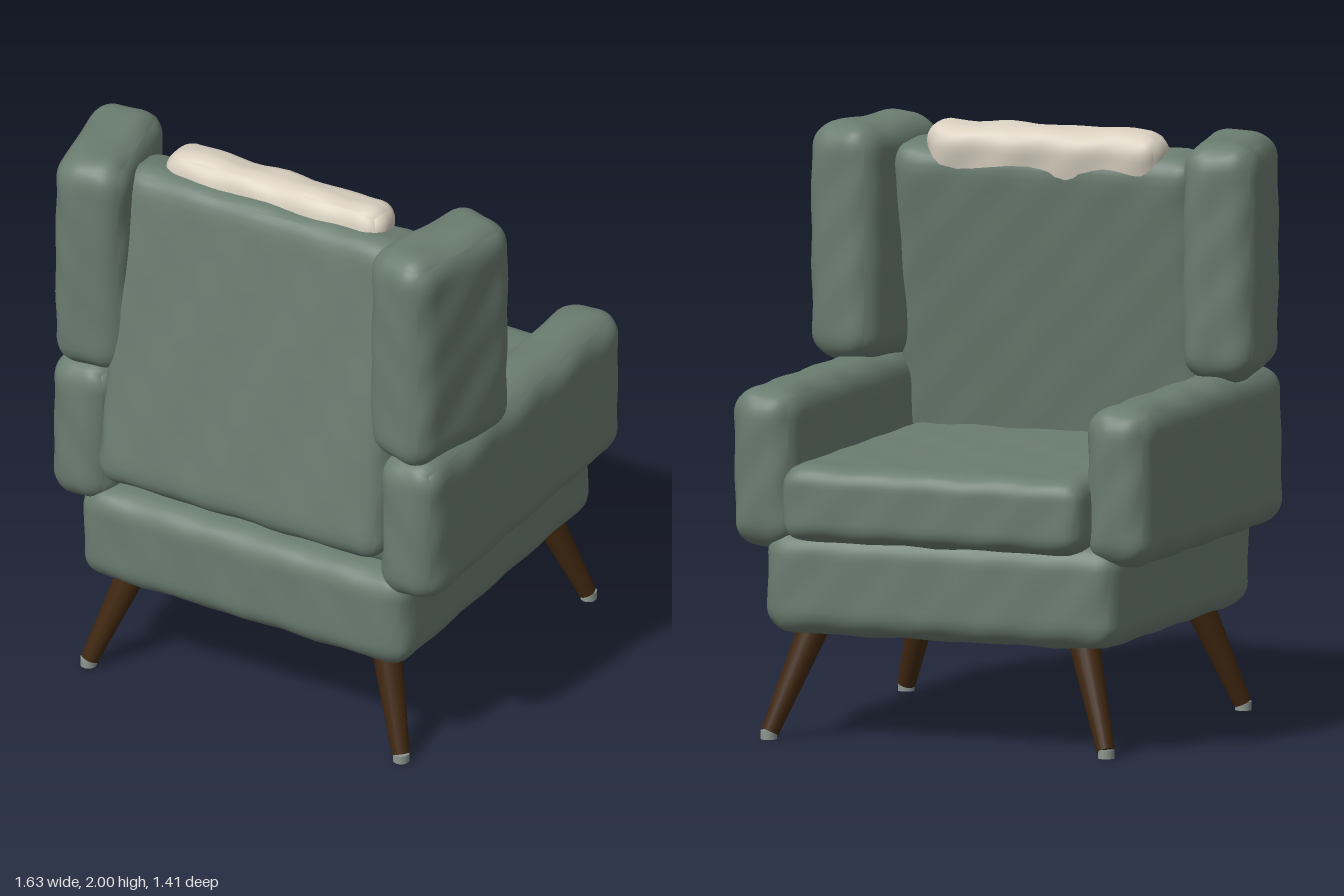
import * as THREE from 'three';
import { mergeVertices } from 'three/addons/utils/BufferGeometryUtils.js';

const mat = (name, color) => Object.assign(new THREE.MeshStandardMaterial({ color }), { name });

// Soft upholstered block: a rounded box with faint wrinkles
function cushionGeometry(w, h, d, r, wrinkle = 0.004) {
  const n = 28;
  const g = new THREE.BoxGeometry(2, 2, 2, n, n, n);
  g.deleteAttribute('uv');
  g.deleteAttribute('normal');
  const pos = g.attributes.position;
  const half = new THREE.Vector3(w / 2, h / 2, d / 2);
  const inner = half.clone().subScalar(r);
  const low = inner.clone().negate();
  const p = new THREE.Vector3(), core = new THREE.Vector3();
  const ease = u => Math.sin(u * Math.PI / 2); // more points near the edges
  for (let i = 0; i < pos.count; i++) {
    p.fromBufferAttribute(pos, i);
    p.set(ease(p.x), ease(p.y), ease(p.z)).multiply(half);
    core.copy(p).clamp(low, inner);
    const wave = Math.sin(p.x * 23 + p.y * 9) * Math.sin(p.z * 21 + p.y * 17 + p.x * 5);
    p.sub(core).normalize().multiplyScalar(r + wrinkle * wave).add(core);
    pos.setXYZ(i, p.x, p.y, p.z);
  }
  const merged = mergeVertices(g, 1e-5);
  merged.computeVertexNormals();
  return merged;
}

export function createModel() {
  const chair = new THREE.Group();
  chair.name = 'wingArmchair';
  const fabric = mat('greenFabric', 0x6a7c70);
  const cream = mat('creamFabric', 0xd8cfbf);
  const wood = mat('darkWood', 0x402710);
  const metal = mat('footMetal', 0x8b958e);

  const add = (name, geometry, material, x, y, z) => {
    const mesh = new THREE.Mesh(geometry, material);
    mesh.name = name;
    mesh.position.set(x, y, z);
    chair.add(mesh);
    return mesh;
  };

  // Base and seat cushion; the seat opens towards -z
  add('base', cushionGeometry(1.285, 0.36, 1.285, 0.09), fabric, 0, 0.535, 0.017);
  add('seatCushion', cushionGeometry(1.1, 0.26, 1.27, 0.07), fabric, 0, 0.815, -0.07);

  // Backrest and head pillow share one tilt
  const tilt = -0.155;
  add('backrest', cushionGeometry(1.12, 1.17, 0.245, 0.085), fabric, 0, 1.34, 0.497).rotation.x = tilt;
  add('headPillow', cushionGeometry(0.86, 0.34, 0.18, 0.075, 0.006), cream, 0, 1.82, 0.396).rotation.x = tilt;

  // Arms, wings and splayed legs, mirrored left and right
  const armGeometry = cushionGeometry(0.245, 0.55, 1.29, 0.1);
  const wingGeometry = cushionGeometry(0.265, 0.81, 0.5, 0.095);
  const up = new THREE.Vector3(0, 1, 0);
  for (const s of [1, -1]) {
    const side = s > 0 ? 'left' : 'right';
    add(side + 'Arm', armGeometry, fabric, s * 0.643, 0.915, 0.017);
    add(side + 'Wing', wingGeometry, fabric, s * 0.647, 1.575, 0.422).rotation.y = -s * 0.21;

    for (const e of [1, -1]) {
      const name = side + (e > 0 ? 'Rear' : 'Front');
      const top = new THREE.Vector3(s * 0.475, 0.42, e * 0.5);
      const foot = new THREE.Vector3(s * 0.61, 0.025, e * 0.615);
      const axis = top.clone().sub(foot);
      const mid = top.clone().add(foot).multiplyScalar(0.5);
      const leg = add(name + 'Leg', new THREE.CylinderGeometry(0.055, 0.031, axis.length(), 20),
        wood, mid.x, mid.y, mid.z);
      leg.quaternion.setFromUnitVectors(up, axis.normalize());
      add(name + 'FootCap', new THREE.CylinderGeometry(0.028, 0.028, 0.03, 20), metal,
        s * 0.613, 0.015, e * 0.618);
    }
  }
  return chair;
}
